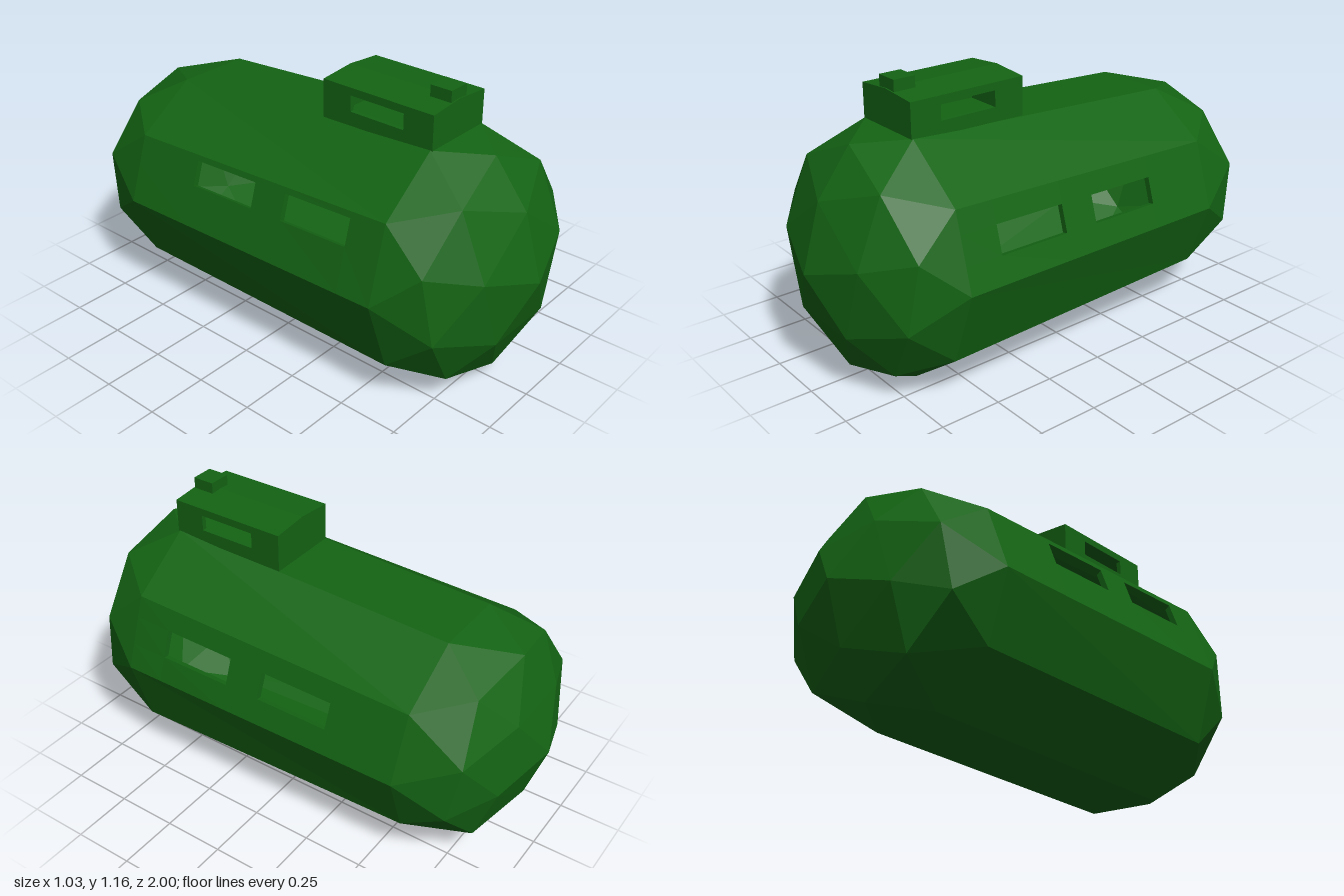
import * as THREE from 'three';

const DEG = Math.PI / 180;
const HALF = 0.62; // half length of the straight barrel

// Collects triangles into a flat-shaded geometry
function builder() {
  const pos = [];
  const tri = (a, b, c, flip = false) => {
    for (const p of flip ? [a, c, b] : [a, b, c]) pos.push(p.x, p.y, p.z);
  };
  const quad = (a, b, c, d, flip = false) => { tri(a, b, c, flip); tri(a, c, d, flip); };
  const geometry = () => {
    const g = new THREE.BufferGeometry();
    g.setAttribute('position', new THREE.Float32BufferAttribute(pos, 3));
    g.computeVertexNormals();
    return g;
  };
  return { tri, quad, geometry };
}

// The two ends: ring centre, radii, drift of the axis to the pole, ring depths
const FRONT = { s: 1, x: 0.006, y: 0.482, rx: 0.506, ry: 0.507, dx: 0.009, dy: 0.013, start: 90, h: [0.81, 0.45, 0.54] };
const BACK = { s: -1, x: -0.011, y: 0.468, rx: 0.502, ry: 0.453, dx: -0.007, dy: -0.013, start: 270, h: [0.81, 0.5, 0.6] };

// Point on an end cap: angle, radius (0..1), height (0..1), wall inset
function capPoint(end, deg, r, h, inset) {
  const x = end.x + end.dx * h + (end.rx - inset) * r * Math.cos(deg * DEG);
  const y = end.y + end.dy * h + (end.ry - inset) * r * Math.sin(deg * DEG);
  const z = end.s * (HALF + (0.38 - inset) * h) - 0.025 * (y - 0.47);
  return new THREE.Vector3(x, y, z);
}

// Half of a once-subdivided icosahedron
function addCap(b, end, inset, inside) {
  const flip = (end.s < 0) !== inside;
  const at = (deg, r, h) => capPoint(end, end.start + deg, r, h, inset);
  const pole = at(0, 0, 1);
  for (let k = 0; k < 5; k++) {
    const a = 72 * k;
    const r0 = at(a, 0.526, end.h[0]), r1 = at(a + 72, 0.526, end.h[0]);
    const v0 = at(a, 0.894, end.h[1]), v1 = at(a + 72, 0.894, end.h[1]);
    const m = at(a + 36, 0.851, end.h[2]);
    const e0 = at(a - 18, 1, 0), e1 = at(a + 18, 1, 0), e2 = at(a + 54, 1, 0);
    b.tri(pole, r0, r1, flip);
    b.tri(r0, v0, m, flip);
    b.tri(r0, m, r1, flip);
    b.tri(r1, m, v1, flip);
    b.tri(v0, e0, e1, flip);
    b.tri(v0, e1, m, flip);
    b.tri(m, e1, e2, flip);
    b.tri(m, e2, v1, flip);
  }
}

// Point on barrel facet k: u runs around, z runs along
function barrelPoint(k, u, z, inset) {
  const v = (z + HALF) / (2 * HALF);
  const edge = (j) => capPoint(BACK, 36 * j, 1, 0, inset).lerp(capPoint(FRONT, 36 * j, 1, 0, inset), v);
  return edge(k).lerp(edge(k + 1), u);
}

// Window openings by facet: range around and ranges along
const WINDOWS = {
  0: { u: [0.34, 0.71], z: [-0.31, 0, 0.15, 0.46] },
  4: { u: [0.08, 0.43], z: [-0.3, 0.01, 0.16, 0.47] },
};

function addBarrel(b, inset, inside) {
  for (let k = 0; k < 10; k++) {
    const w = WINDOWS[k];
    const us = w ? [0, ...w.u, 1] : [0, 1];
    const zs = w ? [-HALF, ...w.z, HALF] : [-HALF, HALF];
    for (let i = 0; i < us.length - 1; i++) {
      for (let j = 0; j < zs.length - 1; j++) {
        if (w && i === 1 && j % 2 === 1) continue;
        const p = (u, z) => barrelPoint(k, u, z, inset);
        b.quad(p(us[i], zs[j]), p(us[i + 1], zs[j]), p(us[i + 1], zs[j + 1]), p(us[i], zs[j + 1]), inside);
      }
    }
  }
}

// Reveals joining outer and inner skin around each window
function windowReveals(inset) {
  const b = builder();
  for (const key of Object.keys(WINDOWS)) {
    const k = Number(key), { u, z } = WINDOWS[k];
    for (const j of [0, 2]) {
      const corners = [[u[0], z[j]], [u[1], z[j]], [u[1], z[j + 1]], [u[0], z[j + 1]]];
      corners.forEach((c, i) => {
        const d = corners[(i + 1) % 4];
        b.quad(barrelPoint(k, ...c, 0), barrelPoint(k, ...d, 0), barrelPoint(k, ...d, inset), barrelPoint(k, ...c, inset));
      });
    }
  }
  return b.geometry();
}

function hullSkin(inset, inside) {
  const b = builder();
  addCap(b, FRONT, inset, inside);
  addCap(b, BACK, inset, inside);
  addBarrel(b, inset, inside);
  return b.geometry();
}

function polygon(points, Type = THREE.Shape) {
  return new Type(points.map(([x, y]) => new THREE.Vector2(x, y)));
}

export function createModel() {
  const group = new THREE.Group();
  const green = new THREE.MeshStandardMaterial({ color: 0x146414, flatShading: true, side: THREE.DoubleSide });
  const add = (parent, name, geometry, x = 0, y = 0, z = 0) => {
    const mesh = new THREE.Mesh(geometry, green);
    mesh.name = name;
    mesh.position.set(x, y, z);
    parent.add(mesh);
  };

  // Hull: two skins with window openings
  const wall = 0.025;
  const hull = new THREE.Group();
  hull.name = 'hull';
  add(hull, 'outerHull', hullSkin(0, false));
  add(hull, 'innerHull', hullSkin(wall, true));
  add(hull, 'windowReveals', windowReveals(wall));
  group.add(hull);

  // Tower: pierced side walls, end walls and a faintly pitched roof
  const tower = new THREE.Group();
  tower.name = 'tower';
  const left = 0.163, right = -0.149, back = 0.11, front = 0.615, t = 0.02;
  const side = polygon([[back, 0.945], [front, 0.955], [front, 1.1], [back, 1.1]]);
  side.holes.push(polygon([[0.24, 1.005], [0.24, 1.07], [0.485, 1.07], [0.485, 1.005]], THREE.Path));
  const sideGeo = new THREE.ExtrudeGeometry(side, { depth: t, bevelEnabled: false }).rotateY(-Math.PI / 2);
  add(tower, 'leftTowerWall', sideGeo, left);
  add(tower, 'rightTowerWall', sideGeo, right + t);
  const mid = (left + right) / 2, width = left - right;
  const endGeo = new THREE.BoxGeometry(width - 2 * t, 0.15, t);
  add(tower, 'frontTowerWall', endGeo, mid, 1.025, front - t / 2);
  add(tower, 'backTowerWall', endGeo, mid, 1.02, back + t / 2);
  const roof = polygon([[right, 1.085], [left, 1.085], [left, 1.101], [mid, 1.114], [right, 1.101]]);
  add(tower, 'towerRoof', new THREE.ExtrudeGeometry(roof, { depth: front - back, bevelEnabled: false }), 0, 0, back);
  group.add(tower);

  // Small hatch block on the roof
  add(group, 'roofHatch', new THREE.BoxGeometry(0.094, 0.056, 0.092), 0.007, 1.128, 0.564);
  return group;
}
